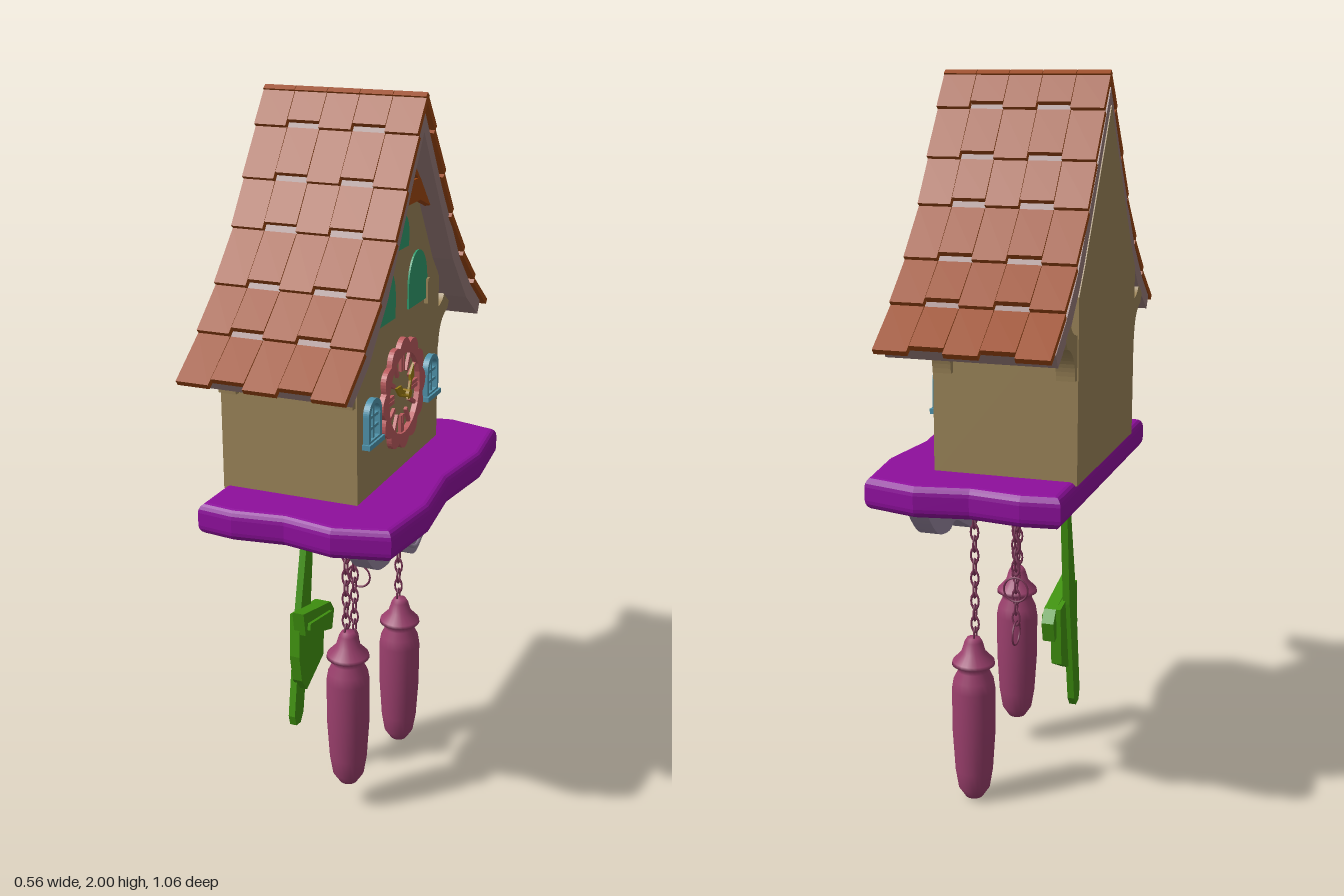
import * as THREE from 'three';

const mat = (color) => new THREE.MeshStandardMaterial({ color, side: THREE.DoubleSide });
const M = {
  tile: mat(0x9a4510), wall: mat(0x9b8458), trim: mat(0x977b79), base: mat(0x8e0f9c),
  crest: mat(0x93839c), glass: mat(0x2f9a6c), blue: mat(0x4f93ab), dial: mat(0xbb5b5e),
  hand: mat(0x9a7c14), weight: mat(0x9a3f6c), chain: mat(0x7a3355), green: mat(0x419410),
};

// Built facing +z, then turned so the dial faces +x
export function createModel() {
  const root = new THREE.Group();
  root.name = 'cuckooClock';
  const clock = new THREE.Group();
  clock.name = 'clock';
  clock.rotation.y = Math.PI / 2;
  root.add(clock);

  const add = (name, geo, m, x = 0, y = 0, z = 0, parent = clock) => {
    const mesh = new THREE.Mesh(geo, m);
    mesh.name = name;
    mesh.position.set(x, y, z);
    parent.add(mesh);
    return mesh;
  };
  const poly = (pts) => new THREE.Shape(pts.map(([x, y]) => new THREE.Vector2(x, y)));
  const mirrored = (pts) => [...pts, ...pts.filter((p) => p[0] > 0).reverse().map(([x, y]) => [-x, y])];
  const slab = (shape, depth, opts = {}) =>
    new THREE.ExtrudeGeometry(shape, { depth, bevelEnabled: false, curveSegments: 12, ...opts });
  const arch = (w, h, rise, Kind = THREE.Shape) => {
    const s = new Kind();
    s.moveTo(-w / 2, 0);
    s.lineTo(w / 2, 0);
    s.lineTo(w / 2, h - rise);
    s.absellipse(0, h - rise, w / 2, rise, 0, Math.PI, false);
    s.closePath();
    return s;
  };

  // House body with gable
  add('house', slab(poly(mirrored([[0.295, 0.97], [0.295, 1.455], [0.24, 1.53], [0.1, 1.75], [0, 1.91]])), 0.388),
    M.wall, 0, 0, -0.283);

  // Curved roof boards
  add('roofBoards', slab(poly([
    ...[[0, 1.955], [0.14, 1.735], [0.3, 1.51], [0.4, 1.41], [0.485, 1.345],
      [0.465, 1.31], [0.36, 1.385], [0.24, 1.52], [0.1, 1.74], [0, 1.9]],
    ...[[-0.1, 1.74], [-0.24, 1.52], [-0.36, 1.385], [-0.465, 1.31],
      [-0.485, 1.345], [-0.4, 1.41], [-0.3, 1.51], [-0.14, 1.735]],
  ]), 0.445), M.trim, 0, 0, -0.28);

  // Overlapping, staggered tiles
  const rows = [[0, 1.998], [0.07, 1.905], [0.147, 1.78], [0.215, 1.665], [0.317, 1.54], [0.415, 1.44], [0.53, 1.34]];
  const tiles = new THREE.Group();
  tiles.name = 'roofTiles';
  clock.add(tiles);
  for (const side of [1, -1]) {
    for (let r = 1; r < rows.length; r++) {
      const [x0, y0] = rows[r - 1], [x1, y1] = rows[r];
      const len = Math.hypot(x1 - x0, y1 - y0), dx = (x1 - x0) / len, dy = (y1 - y0) / len;
      for (let c = 0; c < 5; c++) {
        const up = c % 2 ? 0.018 : 0;
        const sink = r === 1 ? 0.008 : 0.02;
        const a = [x0 + dy * sink, y0 - dx * sink];
        const b = [x1 + dy * 0.008 - dx * up, y1 - dx * 0.008 - dy * up];
        const t = add('tile', new THREE.BoxGeometry(Math.hypot(b[0] - a[0], b[1] - a[1]), 0.016, 0.0895), M.tile,
          side * (a[0] + b[0]) / 2, (a[1] + b[1]) / 2, -0.2355 + c * 0.091, tiles);
        t.rotation.z = side * Math.atan2(b[1] - a[1], b[0] - a[0]);
      }
    }
  }

  // Small tiled apron high in the gable
  for (const [y, h, w0, w1, z] of [[1.69, 0.08, 0.105, 0.07, 0.13], [1.755, 0.09, 0.08, 0.03, 0.115]]) {
    const apron = add('gableApron', slab(poly([[-w0, 0], [-0.045, 0.025], [0.045, 0.025], [w0, 0], [w1, h], [-w1, h]]), 0.016),
      M.tile, 0, y, z);
    apron.rotation.x = -0.2;
  }

  // Eave brackets
  const bracket = new THREE.Shape();
  bracket.moveTo(0.29, 1.245);
  bracket.lineTo(0.312, 1.245);
  bracket.quadraticCurveTo(0.315, 1.325, 0.385, 1.34);
  bracket.lineTo(0.4, 1.365);
  bracket.lineTo(0.36, 1.4);
  bracket.quadraticCurveTo(0.345, 1.365, 0.29, 1.36);
  for (const z of [-0.28, 0.05]) {
    add('leftBracket', slab(bracket, 0.05), M.wall, 0, 0, z);
    add('rightBracket', slab(bracket, 0.05), M.wall, 0, 0, z + 0.05).rotation.y = Math.PI;
  }

  // Wavy base plate with rounded rim, laid flat
  const basePts = [[0, -0.23], [0.21, -0.255], [0.405, -0.232], [0.44, -0.1], [0.415, 0.04], [0.435, 0.18], [0.425, 0.263]];
  add('basePlate', slab(poly(mirrored(basePts)), 0.035,
    { bevelEnabled: true, bevelSize: 0.02, bevelThickness: 0.025, bevelSegments: 4 }), M.base, 0, 0.955, 0)
    .rotation.x = Math.PI / 2;
  clock.getObjectByName('basePlate').scale.y = -1;

  // Carved crest under the base
  const crest = new THREE.Shape();
  const crestPts = [[0.375, 0.9], [0.34, 0.85], [0.28, 0.8], [0.2, 0.785], [0.15, 0.8], [0.07, 0.765], [0, 0.735]];
  const lower = [...crestPts, ...crestPts.slice(0, 6).reverse().map(([x, y]) => [-x, y])];
  crest.moveTo(0.375, 0.9);
  crest.splineThru(lower.slice(1).map(([x, y]) => new THREE.Vector2(x, y)));
  crest.closePath();
  for (const [x, y, rx, ry] of [[0, 0.84, 0.01, 0.01], [0, 0.868, 0.006, 0.011], [0, 0.812, 0.006, 0.011],
    [-0.045, 0.84, 0.014, 0.007], [0.045, 0.84, 0.014, 0.007]]) {
    crest.holes.push(new THREE.Path().absellipse(x, y, rx, ry, 0, Math.PI * 2));
  }
  add('crest', slab(crest, 0.055, { curveSegments: 4 }), M.crest, 0, 0, 0.1);
  const ridge = new THREE.CatmullRomCurve3(lower.slice(1, -1).map(([x, y]) => new THREE.Vector3(x * 0.92, y + 0.022, 0.155)));
  add('crestRidge', new THREE.TubeGeometry(ridge, 48, 0.006, 6), M.crest);

  // Green arched openings
  for (const x of [-0.117, 0.117]) {
    add('archedWindow', slab(arch(0.138, 0.148, 0.09), 0.01), M.glass, x, 1.42, 0.1);
    add('windowHinge', new THREE.BoxGeometry(0.018, 0.07, 0.016), M.wall, x * 1.6, 1.44, 0.108);
  }
  add('cuckooDoor', slab(arch(0.09, 0.09, 0.05), 0.01), M.glass, 0, 1.595, 0.1);

  // Blue lattice windows
  for (const x of [-0.214, 0.214]) {
    const w = new THREE.Group();
    w.name = 'latticeWindow';
    w.position.set(x, 1.13, 0.1);
    clock.add(w);
    const frame = arch(0.088, 0.12, 0.04);
    const hole = arch(0.064, 0.094, 0.03, THREE.Path);
    frame.holes.push(new THREE.Path(hole.getPoints(12).map((p) => p.add(new THREE.Vector2(0, 0.013)))));
    add('frame', slab(frame, 0.022), M.blue, 0, 0, 0, w);
    add('upright', new THREE.BoxGeometry(0.009, 0.11, 0.016), M.blue, 0, 0.06, 0.009, w);
    for (const y of [0.042, 0.072]) add('crossbar', new THREE.BoxGeometry(0.075, 0.008, 0.016), M.blue, 0, y, 0.009, w);
    add('sill', new THREE.BoxGeometry(0.1, 0.014, 0.03), M.blue, 0, 0, 0.013, w);
  }

  // Scalloped dial ring, hour marks and hands
  const dial = new THREE.Group();
  dial.name = 'dial';
  dial.position.set(0, 1.2, 0.1);
  clock.add(dial);
  const ringPts = [];
  for (let i = 0; i < 120; i++) {
    const a = (i / 120) * Math.PI * 2, r = 0.138 + 0.018 * Math.abs(Math.cos(a * 6));
    ringPts.push([Math.cos(a) * r, Math.sin(a) * r]);
  }
  const ring = poly(ringPts);
  ring.holes.push(new THREE.Path().absarc(0, 0, 0.112, 0, Math.PI * 2));
  add('ring', slab(ring, 0.02), M.dial, 0, 0, 0, dial);
  for (let i = 0; i < 12; i++) {
    const a = (i / 12) * Math.PI * 2;
    for (const s of i % 3 ? [0] : [-0.07, 0.07]) {
      add('hourMark', new THREE.BoxGeometry(0.055, 0.011, 0.012), M.dial,
        Math.cos(a + s) * 0.09, Math.sin(a + s) * 0.09, 0.008, dial).rotation.z = a;
    }
  }
  const handShape = poly([[-0.006, -0.015], [0.006, -0.015], [0.005, 0.035], [0.014, 0.05], [0, 0.085], [-0.014, 0.05], [-0.005, 0.035]]);
  add('hourHand', slab(handShape, 0.006), M.hand, 0, 0, 0.02, dial).rotation.z = 1.15;
  add('minuteHand', slab(handShape, 0.006), M.hand, 0, 0, 0.027, dial).rotation.z = -0.4;
  add('hub', new THREE.CylinderGeometry(0.012, 0.012, 0.035, 12), M.hand, 0, 0, 0.018, dial).rotation.x = Math.PI / 2;

  // Chains of alternating links
  const link = new THREE.TorusGeometry(0.011, 0.003, 6, 12);
  link.scale(1, 1.9, 1);
  const chain = (x, z, bottom) => {
    const g = new THREE.Group();
    g.name = 'chain';
    clock.add(g);
    for (let y = 0.885, i = 0; y > bottom; y -= 0.033, i++) {
      add('link', link, M.chain, x, y, z, g).rotation.y = i % 2 ? Math.PI / 2 : 0;
    }
  };
  chain(-0.198, 0.03, 0.55);
  chain(0.195, 0.03, 0.48);
  chain(-0.042, -0.012, 0.45);
  chain(0.08, -0.05, 0.63);
  const pull = new THREE.TorusGeometry(0.035, 0.003, 6, 28);
  add('pullRing', pull, M.chain, -0.042, 0.41, -0.012);
  add('pullRing', pull, M.chain, 0.08, 0.59, -0.05).rotation.y = Math.PI / 2;

  // Turned weights
  const profile = [[0, 0], [0.025, 0.006], [0.044, 0.035], [0.053, 0.09], [0.06, 0.2], [0.061, 0.33], [0.056, 0.36],
    [0.044, 0.385], [0.044, 0.4], [0.06, 0.405], [0.058, 0.415], [0.034, 0.44], [0.025, 0.47], [0.018, 0.482], [0, 0.485]];
  const weight = new THREE.LatheGeometry(profile.map(([r, y]) => new THREE.Vector2(r, y)), 24);
  add('weight', weight, M.weight, -0.198, 0.075, 0.035);
  add('weight', weight, M.weight, 0.195, 0, 0.035);

  // Swinging pendulum with layered bob
  const pendulum = new THREE.Group();
  pendulum.name = 'pendulum';
  pendulum.position.set(0, 0.9, -0.175);
  pendulum.rotation.z = -0.175;
  clock.add(pendulum);
  add('rod', slab(poly([[-0.011, 0.02], [0.011, 0.02], [0.034, -0.38], [0.03, -0.7], [0.015, -0.73], [-0.015, -0.73], [-0.03, -0.7], [-0.034, -0.38]]), 0.02),
    M.green, 0, 0, 0, pendulum);
  add('bob', slab(poly([[-0.09, -0.37], [0.085, -0.37], [0.1, -0.54], [-0.005, -0.617], [-0.045, -0.58], [-0.075, -0.5]]), 0.03),
    M.green, 0, 0, 0.012, pendulum);
  add('bobTop', slab(poly([[-0.105, -0.36], [0.085, -0.37], [0.117, -0.4], [0.112, -0.46], [-0.08, -0.43]]), 0.035),
    M.green, 0, 0, 0.025, pendulum);
  add('bobBar', new THREE.BoxGeometry(0.15, 0.02, 0.014), M.green, 0.005, -0.405, 0.062, pendulum);

  return root;
}
